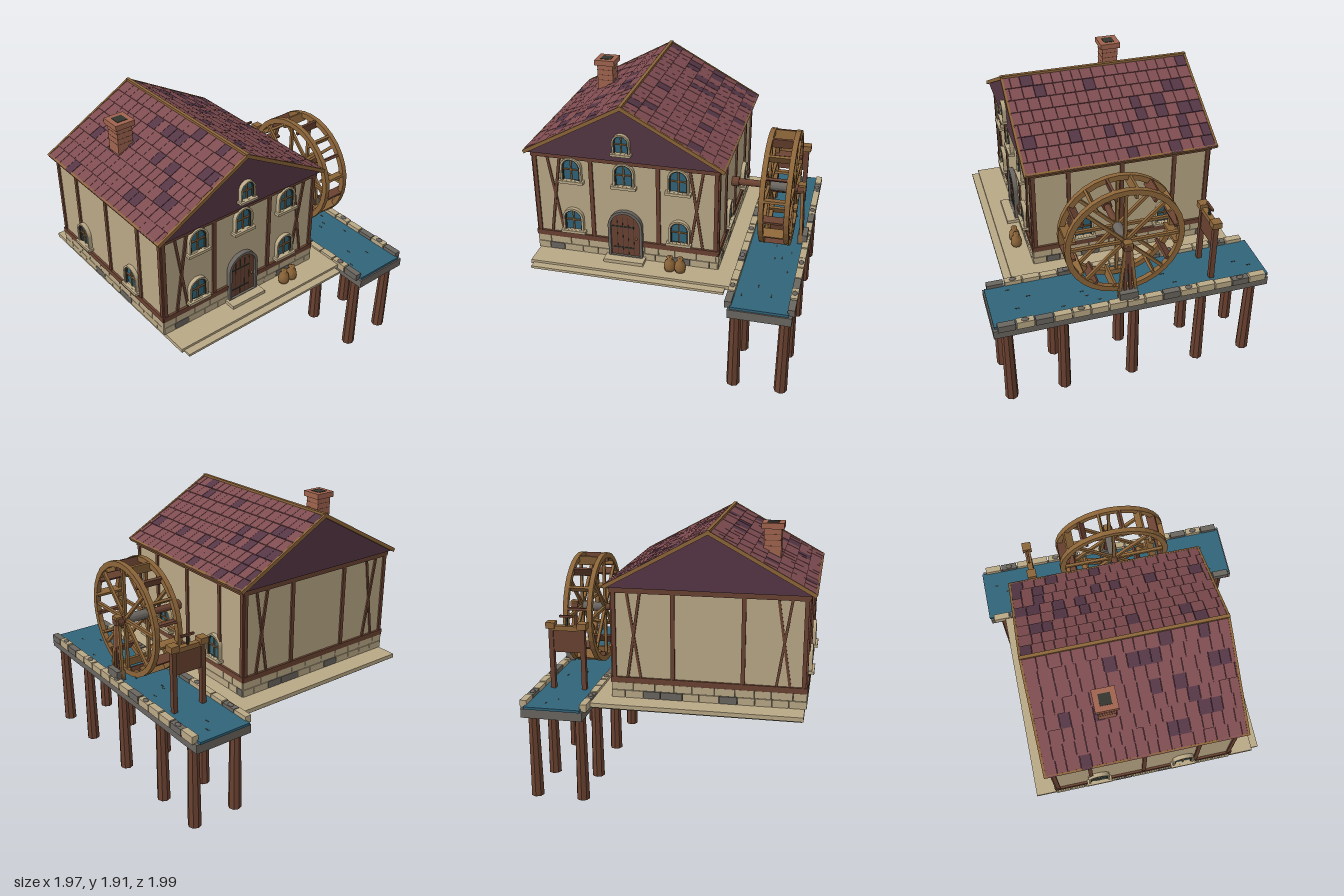
import * as THREE from 'three';
import { mergeGeometries, toCreasedNormals } from 'three/addons/utils/BufferGeometryUtils.js';

const paint = (name, color) => Object.assign(new THREE.MeshStandardMaterial({ color }), { name });
const M = {
  plaster: paint('plaster', 0xb9a886), stone: paint('grey stone', 0x6a655f), roof: paint('roof tile', 0x7e4c50),
  darkRoof: paint('dark roof tile', 0x543644), timber: paint('dark timber', 0x6a4231), wood: paint('golden wood', 0x8c6539),
  water: paint('water and glass', 0x30647a), brick: paint('brick', 0xa0644f), iron: paint('dark iron', 0x34352f),
};
let seed = 7;
const rnd = () => (seed = (seed * 16807) % 2147483647) / 2147483647;

function add(parent, name, geo, mat, x = 0, y = 0, z = 0) {
  const m = new THREE.Mesh(geo, mat);
  m.name = name;
  m.position.set(x, y, z);
  parent.add(m);
  return m;
}
const group = (parent, name, x = 0, y = 0, z = 0) => {
  const g = new THREE.Group();
  g.name = name;
  g.position.set(x, y, z);
  parent.add(g);
  return g;
};
// box given by its extents
const box = (p, name, mat, x0, x1, y0, y1, z0, z1) =>
  add(p, name, new THREE.BoxGeometry(x1 - x0, y1 - y0, z1 - z0), mat, (x0 + x1) / 2, (y0 + y1) / 2, (z0 + z1) / 2);
const cyl = (p, name, mat, r0, r1, h, x, y, z, n = 10) =>
  add(p, name, toCreasedNormals(new THREE.CylinderGeometry(r0, r1, h, n), 0.5), mat, x, y, z);
// square beam between two points
function beam(p, name, mat, a, b, w, d = w) {
  const A = new THREE.Vector3(...a), B = new THREE.Vector3(...b), dir = B.clone().sub(A);
  const m = add(p, name, new THREE.BoxGeometry(w, dir.length(), d), mat);
  m.position.copy(A).add(B).multiplyScalar(0.5);
  m.quaternion.setFromUnitVectors(new THREE.Vector3(0, 1, 0), dir.normalize());
  return m;
}
// round-topped outline standing on y = 0
function archPath(path, r, h, y0 = 0) {
  path.moveTo(-r, y0);
  path.lineTo(r, y0);
  path.lineTo(r, h);
  path.absarc(0, h, r, 0, Math.PI, false);
  path.lineTo(-r, y0);
  return path;
}
function arch(p, name, mat, r, h, depth, inner = 0) {
  const s = archPath(new THREE.Shape(), r, h);
  if (inner) s.holes.push(archPath(new THREE.Path(), inner, h, 0.004));
  return add(p, name, new THREE.ExtrudeGeometry(s, { depth, bevelEnabled: false, curveSegments: 10 }), mat);
}

function windowAt(parent, x, y, z, turn = 0, k = 1) {
  const g = group(parent, 'window', x, y, z);
  g.rotation.y = turn;
  g.scale.set(k, k, 1);
  arch(g, 'windowSurround', M.plaster, 0.076, 0.1, 0.03, 0.063);
  arch(g, 'windowFrame', M.iron, 0.064, 0.1, 0.022, 0.055);
  arch(g, 'glass', M.water, 0.057, 0.1, 0.008);
  box(g, 'mullion', M.wood, -0.005, 0.005, 0, 0.155, 0.008, 0.017);
  box(g, 'crossBar', M.wood, -0.056, 0.056, 0.078, 0.087, 0.008, 0.017);
  box(g, 'sill', M.plaster, -0.09, 0.09, -0.018, 0.003, 0, 0.045);
}

// timber frame on one wall, drawn in the wall's own plane
function timberFrame(parent, x, z, turn, half, posts, braces) {
  const g = group(parent, 'timberFrame', x, 0, z);
  g.rotation.y = turn;
  box(g, 'lowerBeam', M.timber, -half - 0.01, half + 0.01, 0.83, 0.87, -0.01, 0.016);
  box(g, 'upperBeam', M.timber, -half - 0.01, half + 0.01, 1.465, 1.505, -0.01, 0.016);
  for (const px of [-half + 0.012, half - 0.012, ...posts]) box(g, 'post', M.timber, px - 0.014, px + 0.014, 0.87, 1.465, -0.01, 0.012);
  for (const bx of braces) for (const s of [-1, 1])
    beam(g, 'brace', M.timber, [bx - s * 0.045, 0.87, 0.002 + s * 0.002], [bx + s * 0.045, 1.465, 0.002 + s * 0.002], 0.018, 0.016);
  // foundation blocks in two courses
  for (let row = 0; row < 2; row++) for (let u = -half - 0.008; u < half - 0.01;) {
    const e = Math.min(half + 0.008, u + 0.09 + rnd() * 0.07);
    box(g, 'foundationBlock', rnd() < 0.22 ? M.stone : M.plaster, u, e - 0.004, 0.721 + row * 0.055, 0.772 + row * 0.056, -0.02, 0.012);
    u = e;
  }
}

function buildHouse(root) {
  const g = group(root, 'house');
  box(g, 'yardSlab', M.plaster, -0.935, 0.53, 0.69, 0.72, -0.875, 0.775);
  box(g, 'yardUnderside', M.stone, -0.925, 0.54, 0.682, 0.69, -0.865, 0.765);
  box(g, 'frontStep', M.plaster, -0.915, 0.48, 0.685, 0.703, 0.775, 0.83);
  box(g, 'foundation', M.stone, -0.93, 0.38, 0.72, 0.83, -0.71, 0.575);
  box(g, 'walls', M.plaster, -0.935, 0.385, 0.83, 1.51, -0.715, 0.58);
  const cx = -0.275, cz = -0.0675;
  timberFrame(g, cx, 0.58, 0, 0.66, [-0.24, 0.24], [-0.51, 0.51]);
  timberFrame(g, cx, -0.715, Math.PI, 0.66, [-0.24, 0.24], [-0.51, 0.51]);
  timberFrame(g, 0.385, cz, Math.PI / 2, 0.6475, [-0.385, 0, 0.385], []);
  timberFrame(g, -0.935, cz, -Math.PI / 2, 0.6475, [-0.385, 0, 0.385], []);
  for (const x of [-0.655, cx, 0.11]) windowAt(g, x, 1.305, 0.58);
  for (const x of [-0.66, 0.115]) windowAt(g, x, 0.905, 0.58);
  for (const z of [0.22, -0.4]) {
    windowAt(g, 0.385, 0.905, z, Math.PI / 2);
    windowAt(g, -0.935, 0.905, z, -Math.PI / 2);
  }
  windowAt(g, cx, 1.57, 0.615, 0, 0.8);

  // arched plank door
  const d = group(g, 'door', cx, 0.745, 0.58);
  arch(d, 'doorSurround', M.stone, 0.125, 0.24, 0.035, 0.105);
  arch(d, 'doorLeaf', M.timber, 0.106, 0.24, 0.018);
  for (const x of [-0.06, -0.02, 0.02, 0.06]) box(d, 'plankGap', M.iron, x - 0.002, x + 0.002, 0.01, 0.31, 0.017, 0.02);
  for (const y of [0.06, 0.23]) box(d, 'doorBand', M.iron, -0.1, 0.06, y, y + 0.009, 0.018, 0.022);
  add(d, 'doorKnob', new THREE.SphereGeometry(0.009, 8, 6), M.wood, 0.08, 0.15, 0.025);
  box(g, 'doorStep', M.plaster, -0.42, -0.13, 0.72, 0.745, 0.58, 0.68);

  // sacks by the wall
  const profile = [[0, 0], [0.036, 0], [0.042, 0.03], [0.034, 0.07], [0.016, 0.088], [0.024, 0.105], [0, 0.1]].map(p => new THREE.Vector2(...p));
  for (const x of [0.063, 0.138]) add(g, 'sack', new THREE.LatheGeometry(profile, 10), M.wood, x, 0.72, 0.665);
}

function buildRoof(root) {
  const g = group(root, 'roof', -0.275, 1.9, 0);
  const W = 0.705, H = 0.385, L = Math.hypot(W, H), zb = -0.75, zf = 0.625;
  const tri = new THREE.Shape([[-W, -H - 0.015], [W, -H - 0.015], [0, -0.015]].map(p => new THREE.Vector2(...p)));
  add(g, 'gables', new THREE.ExtrudeGeometry(tri, { depth: zf - zb - 0.02, bevelEnabled: false }), M.darkRoof, 0, 0, zb + 0.01);
  // overlapping tiles, row by row
  const rows = 8, step = L / rows;
  for (const s of [-1, 1]) {
    const slope = group(g, 'roofSlope');
    slope.rotation.z = -s * Math.atan2(H, W);
    const sets = { roof: [], darkRoof: [] };
    for (let r = 0; r < rows; r++) for (let z = zb + 0.005; z < zf - 0.01;) {
      const e = Math.min(zf - 0.005, z + 0.065 + rnd() * 0.03);
      const t = new THREE.BoxGeometry(step + 0.012, 0.01, e - z - 0.003);
      t.rotateZ(s * 0.07);
      t.translate(s * (r + 0.5) * step, -0.005 + rnd() * 0.002, (z + e) / 2);
      sets[rnd() < 0.11 ? 'darkRoof' : 'roof'].push(t);
      z = e;
    }
    for (const k in sets) add(slope, 'tiles', mergeGeometries(sets[k]), M[k]);
    // edge boards
    for (const z of [zb, zf]) box(slope, 'vergeBoard', M.wood, Math.min(0, s * L), Math.max(0, s * L), -0.02, 0.006, z - 0.008, z + 0.008);
    box(slope, 'eaveBoard', M.wood, s * L - 0.008, s * L + 0.008, -0.02, 0.005, zb - 0.008, zf + 0.008);
  }
  box(g, 'ridgeBoard', M.wood, -0.012, 0.012, -0.015, 0.008, zb - 0.008, zf + 0.008);
  // chimney with a dark flue
  const c = group(root, 'chimney', -0.655, 0, -0.275);
  box(c, 'stack', M.brick, -0.06, 0.06, 1.62, 1.87, -0.06, 0.06);
  for (const y of [1.74, 1.78, 1.82]) box(c, 'mortarLine', M.timber, -0.061, 0.061, y, y + 0.004, -0.061, 0.061);
  box(c, 'cap', M.brick, -0.077, 0.077, 1.86, 1.9, -0.077, 0.077);
  box(c, 'flue', M.iron, -0.04, 0.04, 1.895, 1.903, -0.04, 0.04);
}

function buildCanal(root) {
  const g = group(root, 'canal');
  box(g, 'canalBed', M.stone, 0.535, 0.968, 0.625, 0.69, -0.99, 0.995);
  box(g, 'water', M.water, 0.55, 0.945, 0.69, 0.708, -0.998, 0.985);
  [[0.535, [0, 4, 9, 13]], [0.958, [0, 2, 9, 13]]].forEach(([x, grey]) => {
    for (let i = 0; i < 15; i++) {
      const z = 0.905 - i * 0.129, h = 0.734 + rnd() * 0.008;
      box(g, 'curbStone', grey.includes(i) ? M.stone : M.plaster, x - 0.024, x + 0.024, 0.685, h, z - 0.06, z + 0.06);
      if (i % 3 === 1) add(g, 'pebble', new THREE.SphereGeometry(1, 8, 6), M.stone, x, h, z).scale.set(0.018, 0.012, 0.026);
    }
    // piles under the bed
    for (const z of [0.9, 0.51, 0, -0.505, -0.88]) cyl(g, 'pile', M.timber, 0.039, 0.047, 0.63, x < 0.7 ? 0.58 : 0.918, 0.315, z, 8);
  });
  for (let i = 0; i < 14; i++) {
    const x = 0.6 + rnd() * 0.3, z = -0.9 + rnd() * 1.8;
    box(g, 'ripple', M.iron, x - 0.004, x + 0.004, 0.707, 0.71, z - 0.015, z + 0.015);
  }
  // sluice gate
  const s = group(g, 'sluiceGate', 0.75, 0, -0.59);
  for (const x of [-0.115, 0.115]) {
    box(s, 'gatePost', M.timber, x - 0.017, x + 0.017, 0.7, 1.17, -0.018, 0.018);
    box(s, 'postCap', M.wood, x - 0.032, x + 0.032, 1.155, 1.2, -0.034, 0.034);
  }
  box(s, 'topBeam', M.wood, -0.1, 0.1, 1.14, 1.175, -0.02, 0.02);
  box(s, 'gatePanel', M.timber, -0.1, 0.1, 0.98, 1.14, -0.01, 0.01);
  box(s, 'liftRod', M.iron, -0.007, 0.007, 1.17, 1.24, -0.007, 0.007);
  box(s, 'liftHandle', M.timber, -0.05, 0.05, 1.235, 1.25, -0.008, 0.008);
}

function buildWheel(root) {
  const g = group(root, 'waterWheel', 0.747, 1.15, 0.05);
  const ring = new THREE.Shape().absarc(0, 0, 0.42, 0, Math.PI * 2, false);
  ring.holes.push(new THREE.Path().absarc(0, 0, 0.38, 0, Math.PI * 2, true));
  const rim = new THREE.ExtrudeGeometry(ring, { depth: 0.036, bevelEnabled: false, curveSegments: 16 });
  rim.rotateY(Math.PI / 2);
  for (const x of [-0.09, 0.09]) {
    add(g, 'rim', rim, M.wood, x - 0.018);
    for (let i = 0; i < 8; i++) {
      const a = i * Math.PI / 4, c = Math.cos(a), s = Math.sin(a);
      beam(g, 'spoke', M.wood, [x, 0.02 * c, 0.02 * s], [x, 0.39 * c, 0.39 * s], 0.022);
    }
  }
  for (let i = 0; i < 16; i++) {
    const p = group(g, 'paddle');
    p.rotation.x = (i + 0.5) * Math.PI / 8;
    box(p, 'paddleBoard', i % 2 ? M.wood : M.timber, -0.107, 0.107, 0.35, 0.418, -0.009, 0.009);
  }
  // axle and hub
  const rods = [['axle', M.timber, 0.025, -0.36, 0.18], ['hub', M.stone, 0.036, -0.085, 0.085], ['wallCollar', M.timber, 0.036, -0.362, -0.31], ['endCollar', M.timber, 0.04, 0.12, 0.165]];
  for (const [n, m, r, a, b] of rods) cyl(g, n, m, r, r, b - a, (a + b) / 2, 0, 0, 12).rotation.z = Math.PI / 2;
  // outer trestle
  const t = group(root, 'axleTrestle', 0.9, 0, 0.05);
  for (const z of [-0.062, -0.022, 0.022, 0.062]) beam(t, 'trestleLeg', Math.abs(z) > 0.03 ? M.wood : M.timber, [0.02, 0.74, z], [0, 1.17, z * 0.25], 0.022);
  box(t, 'trestleHead', M.wood, -0.025, 0.025, 1.13, 1.19, -0.03, 0.03);
  box(t, 'trestleFoot', M.stone, -0.005, 0.065, 0.72, 0.795, -0.065, 0.065);
}

export function createModel() {
  const root = new THREE.Group();
  root.name = 'watermill';
  buildHouse(root);
  buildRoof(root);
  buildCanal(root);
  buildWheel(root);
  return root;
}
